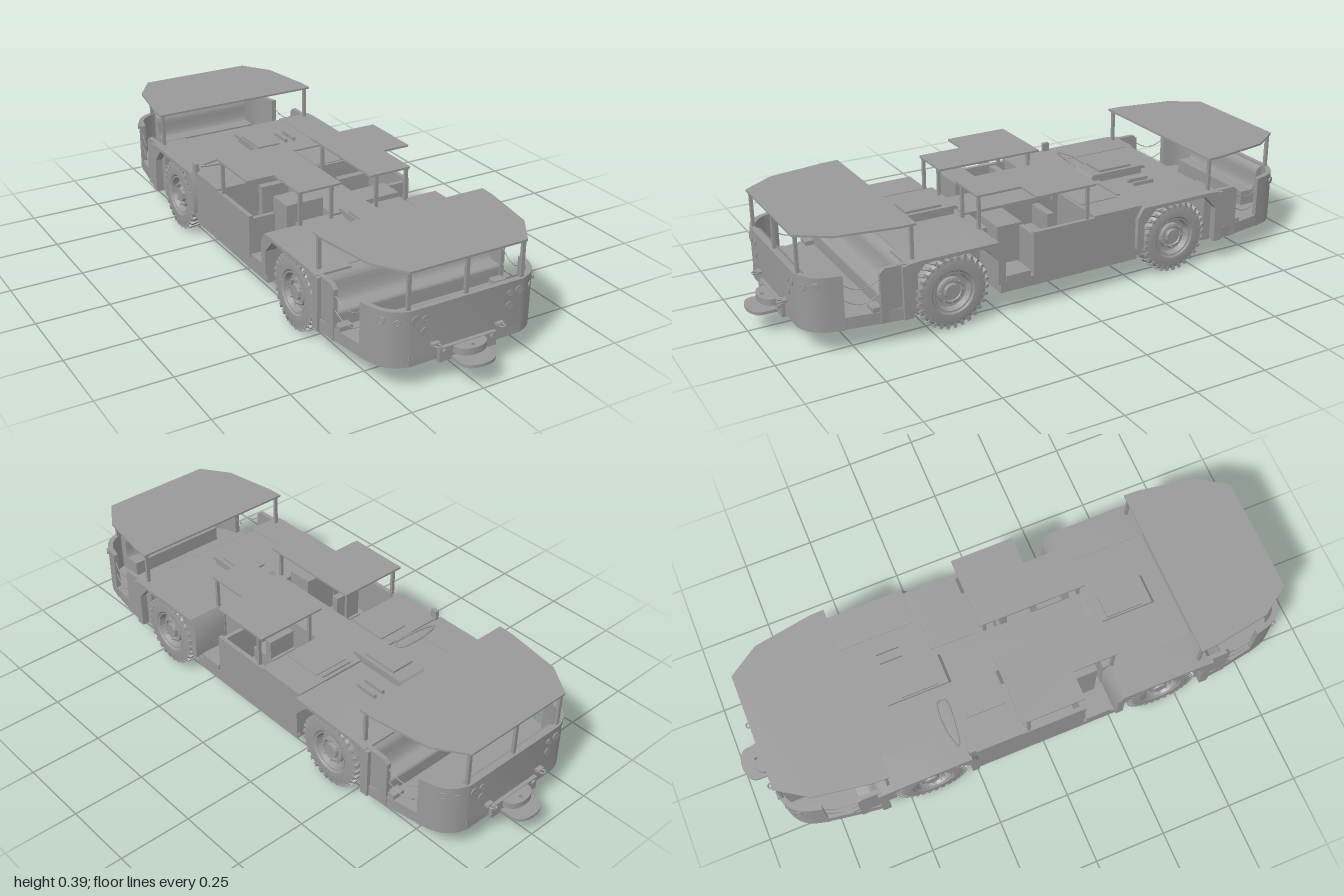
import * as THREE from 'three';
import { mergeGeometries, toCreasedNormals } from 'three/addons/utils/BufferGeometryUtils.js';

const material = new THREE.MeshStandardMaterial({ color: 0x999999, side: THREE.DoubleSide });

function add(parent, name, geometry, x = 0, y = 0, z = 0) {
  const mesh = new THREE.Mesh(geometry, material);
  mesh.name = name;
  mesh.position.set(x, y, z);
  parent.add(mesh);
  return mesh;
}
// Box given by its limits
function block(parent, name, x0, x1, y0, y1, z0, z1) {
  return add(parent, name, new THREE.BoxGeometry(x1 - x0, y1 - y0, z1 - z0), (x0 + x1) / 2, (y0 + y1) / 2, (z0 + z1) / 2);
}
const toShape = (s) => (Array.isArray(s) ? new THREE.Shape(s.map((p) => new THREE.Vector2(...p))) : s);
const extrude = (s, depth) =>
  toCreasedNormals(new THREE.ExtrudeGeometry(toShape(s), { depth, bevelEnabled: false, curveSegments: 12 }), 0.6);
// Side outline [z, y] swept across x
function profile(parent, name, outline, x0, x1) {
  return add(parent, name, extrude(outline, x1 - x0).rotateY(-Math.PI / 2), x1, 0, 0);
}
// Floor outline [x, z] swept up y
function plan(parent, name, outline, y0, y1) {
  return add(parent, name, extrude(outline, y1 - y0).rotateX(Math.PI / 2), 0, y1, 0);
}
const mirrored = (half) => [...half, ...half.slice().reverse().map(([x, z]) => [-x, z])];
const spanFor = (s) => (a, b) => (s > 0 ? [a, b] : [-b, -a]);
function tube(parent, name, points, radius, closed = false) {
  const curve = new THREE.CatmullRomCurve3(points.map((p) => new THREE.Vector3(...p)), closed);
  return add(parent, name, new THREE.TubeGeometry(curve, 24, radius, 6, closed));
}
const post = (parent, x, z, y0) => block(parent, 'canopyPost', x - 0.006, x + 0.006, y0, 0.386, z - 0.005, z + 0.005);

// Tyre with shallow slanted lugs, dished rim and hub; outer face on +x
function wheel(side) {
  const g = new THREE.Group();
  g.name = 'wheel';
  const lathe = (pts) => toCreasedNormals(
    new THREE.LatheGeometry(pts.map((p) => new THREE.Vector2(...p)), 48).rotateZ(-Math.PI / 2), 0.6);
  add(g, 'tyre', lathe([[0.06, -0.04], [0.075, -0.046], [0.1, -0.047], [0.114, -0.043], [0.121, -0.032],
    [0.123, 0], [0.121, 0.032], [0.114, 0.043], [0.1, 0.047], [0.075, 0.046], [0.068, 0.04]]));
  add(g, 'rim', lathe([[0, -0.03], [0.066, -0.03], [0.069, 0.042], [0.064, 0.042], [0.058, 0.022], [0.046, 0.02],
    [0.044, 0.032], [0.036, 0.034], [0.034, 0.028], [0.026, 0.028], [0.024, 0.04], [0, 0.04]]));
  const lugs = [];
  for (let i = 0; i < 30; i++) for (const s of [-1, 1]) {
    const lug = new THREE.BoxGeometry(0.044, 0.01, 0.011).rotateY(s * 0.35).translate(s * 0.022, 0.1215, 0);
    const shoulder = new THREE.BoxGeometry(0.005, 0.014, 0.011).translate(s * 0.0435, 0.113, -0.008);
    lugs.push(...[lug, shoulder].map((b) => b.rotateX(((i + (s > 0 ? 0.5 : 0)) / 30) * Math.PI * 2)));
  }
  add(g, 'treadLugs', mergeGeometries(lugs));
  for (let i = 0; i < 8; i++) {
    const a = (i / 8) * Math.PI * 2;
    add(g, 'wheelNut', new THREE.CylinderGeometry(0.003, 0.003, 0.008, 6).rotateZ(Math.PI / 2),
      0.036, 0.04 * Math.cos(a), 0.04 * Math.sin(a));
  }
  if (side < 0) g.rotation.y = Math.PI;
  return g;
}

// One passenger end with fenders, facing +z
function passengerEnd(wheelZ) {
  const g = new THREE.Group();
  g.name = 'passengerEnd';
  plan(g, 'floor', mirrored([[0.2, 0.25], [0.2, 0.575], [0.322, 0.575], [0.312, 0.66], [0.291, 0.785], [0.28, 0.83],
    [0.2, 0.905]]), 0.085, 0.125);

  // Curved end wall
  const wall = new THREE.Shape();
  wall.moveTo(0.292, 0.785);
  wall.lineTo(0.28, 0.83);
  wall.quadraticCurveTo(0.262, 0.89, 0.195, 0.905);
  wall.lineTo(-0.195, 0.905);
  wall.quadraticCurveTo(-0.262, 0.89, -0.28, 0.83);
  wall.lineTo(-0.292, 0.785);
  wall.lineTo(-0.274, 0.785);
  wall.lineTo(-0.262, 0.83);
  wall.quadraticCurveTo(-0.245, 0.875, -0.19, 0.888);
  wall.lineTo(0.19, 0.888);
  wall.quadraticCurveTo(0.245, 0.875, 0.262, 0.83);
  wall.lineTo(0.274, 0.785);
  plan(g, 'endWall', wall, 0.083, 0.265);

  // Centre body, curved bench back and the facing bench
  block(g, 'centreBody', -0.2, 0.2, 0.085, 0.27, 0.25, 0.575);
  const bench = new THREE.Shape();
  bench.moveTo(0.545, 0.085);
  bench.lineTo(0.545, 0.27);
  bench.quadraticCurveTo(0.595, 0.272, 0.605, 0.24);
  bench.quadraticCurveTo(0.612, 0.185, 0.63, 0.178);
  bench.lineTo(0.66, 0.178);
  bench.quadraticCurveTo(0.67, 0.178, 0.67, 0.165);
  bench.lineTo(0.67, 0.085);
  profile(g, 'bench', bench, -0.3, 0.3);
  const facing = new THREE.Shape();
  facing.moveTo(0.89, 0.12);
  facing.lineTo(0.89, 0.26);
  facing.quadraticCurveTo(0.865, 0.262, 0.862, 0.235);
  facing.quadraticCurveTo(0.86, 0.185, 0.85, 0.178);
  facing.lineTo(0.8, 0.178);
  facing.lineTo(0.8, 0.12);
  profile(g, 'facingBench', facing, -0.19, 0.19);

  for (const s of [-1, 1]) {
    const span = spanFor(s);
    const w = wheel(s);
    w.position.set(s * 0.265, 0.13, wheelZ);
    g.add(w);
    // Angular wheel arch, side panel and mud flap
    profile(g, 'fender', [[0.59, 0.085], [0.59, 0.268], [0.545, 0.272], [0.275, 0.272], [0.252, 0.235], [0.252, 0.125],
      [0.278, 0.125], [0.278, 0.21], [0.325, 0.26], [0.53, 0.26], [0.575, 0.21], [0.575, 0.085]], ...span(0.2, 0.326));
    profile(g, 'sidePanel', [[0.58, 0.085], [0.58, 0.268], [0.66, 0.268], [0.675, 0.255], [0.675, 0.085]], ...span(0.298, 0.313));
    block(g, 'grabPlate', ...span(0.312, 0.326), 0.085, 0.265, 0.585, 0.605);
    block(g, 'doorStep', ...span(0.26, 0.305), 0.125, 0.14, 0.66, 0.7);
    // Safety chains across the doorway
    for (const y of [0.235, 0.185])
      tube(g, 'doorChain', [[s * 0.306, y, 0.675], [s * 0.3, y - 0.02, 0.71], [s * 0.294, y - 0.022, 0.75], [s * 0.285, y, 0.79]], 0.0016);
    // Lamps, the outer ones following the curved corner
    for (const [x, y, z, r, turn] of [[0.183, 0.233, 0.905, 0.014, 0], [0.15, 0.23, 0.905, 0.01, 0], [0.15, 0.19, 0.905, 0.013, 0],
      [0.234, 0.23, 0.889, 0.01, 0.6], [0.267, 0.238, 0.862, 0.011, 1.05]]) {
      const lamp = new THREE.Group();
      lamp.name = 'lamp';
      lamp.position.set(s * x, y, z);
      lamp.rotation.y = s * turn;
      add(lamp, 'lampLens', new THREE.CylinderGeometry(r * 0.85, r * 0.85, 0.008, 20).rotateX(Math.PI / 2));
      add(lamp, 'lampRing', new THREE.TorusGeometry(r * 0.9, 0.002, 6, 24), 0, 0, 0.003);
      g.add(lamp);
    }
    // Towing hooks
    block(g, 'hookPlate', s * 0.115 - 0.013, s * 0.115 + 0.013, 0.136, 0.145, 0.9, 0.92);
    add(g, 'towEye', new THREE.TorusGeometry(0.009, 0.003, 6, 16).rotateX(Math.PI / 2), s * 0.115, 0.14, 0.926);
    for (const [x, z] of [[0.2, 0.892], [0.295, 0.56]]) post(g, s * x, z, 0.25);
  }
  post(g, 0, 0.892, 0.25);

  // Roof canopy
  plan(g, 'canopy', mirrored([[0.31, 0.548], [0.308, 0.6], [0.275, 0.8], [0.205, 0.904]]), 0.384, 0.391);

  // Hitch bracket, thin lower tongue and thick upper jaw
  for (const s of [-1, 1]) {
    block(g, 'hitchPlate', s * 0.08 - 0.022, s * 0.08 + 0.022, 0.076, 0.122, 0.9, 0.918);
    for (const x of [0.043, 0.085])
      add(g, 'hitchBolt', new THREE.CylinderGeometry(0.008, 0.008, 0.008, 12).rotateX(Math.PI / 2), s * x, 0.11, 0.92);
  }
  block(g, 'hitchBlock', -0.06, 0.06, 0.08, 0.122, 0.9, 0.918);
  const tongue = (r, z) => {
    const shape = new THREE.Shape();
    shape.moveTo(-r, 0.9);
    shape.lineTo(-r, z);
    shape.bezierCurveTo(-r, z + 0.05, r, z + 0.05, r, z);
    shape.lineTo(r, 0.9);
    const hole = new THREE.Path();
    hole.absarc(0, 0.942, 0.006, 0, Math.PI * 2);
    shape.holes.push(hole);
    return shape;
  };
  plan(g, 'hitchTongue', tongue(0.06, 0.962), 0.077, 0.087);
  plan(g, 'hitchJaw', tongue(0.055, 0.923), 0.098, 0.12);
  return g;
}

// Stepped cover on the deck
function deckCover(parent, z) {
  block(parent, 'coverBase', -0.046, 0.046, 0.27, 0.29, z - 0.1, z + 0.1);
  profile(parent, 'coverRim', [[z - 0.115, 0.288], [z - 0.105, 0.3], [z + 0.105, 0.3], [z + 0.115, 0.288]], -0.055, 0.05);
  block(parent, 'coverLid', -0.05, 0.036, 0.299, 0.308, z - 0.06, z + 0.07);
}

// Middle section with two open operator stations
function middle() {
  const g = new THREE.Group();
  g.name = 'middle';
  block(g, 'middleFloor', -0.31, 0.31, 0.085, 0.12, -0.262, 0.262);
  block(g, 'tunnel', -0.075, 0.075, 0.1, 0.277, -0.27, 0.27);
  block(g, 'rearDeck', -0.31, 0.31, 0.1, 0.277, -0.275, -0.09);
  block(g, 'hatchPlate', -0.19, -0.08, 0.276, 0.282, -0.24, -0.1);
  block(g, 'hatchPlate', 0.08, 0.21, 0.276, 0.28, -0.24, -0.1);
  for (const s of [-1, 1]) {
    const span = spanFor(s);
    block(g, 'sideWall', ...span(0.295, 0.31), 0.085, 0.27, -0.1, 0.14);
    block(g, 'doorPillar', ...span(0.2, 0.31), 0.1, 0.26, 0.125, 0.14);
    block(g, 'entryStep', ...span(0.22, 0.31), 0.12, 0.14, 0.15, 0.24);
    block(g, 'seatCushion', ...span(0.1, 0.2), 0.12, 0.2, -0.01, 0.09);
    block(g, 'seatBack', ...span(0.1, 0.2), 0.18, s < 0 ? 0.305 : 0.268, 0.0, 0.025);
    block(g, 'console', ...span(0.08, 0.215), 0.12, s < 0 ? 0.318 : 0.27, 0.13, 0.22);
    plan(g, 'canopy', [[0.055, -0.092], [0.31, -0.092], [0.31, 0.13], [0.21, 0.13], [0.21, 0.29], [0.055, 0.29]]
      .map(([x, z]) => [s * x, z]), 0.384, 0.391);
    for (const [x, z] of [[0.085, 0.28], [0.2, 0.28], [0.3, -0.065], [0.085, -0.065]]) post(g, s * x, z, 0.26);
    block(g, 'canopyLamp', ...span(0.06, 0.1), 0.379, 0.385, 0.1, 0.14);
  }
  // Deck covers, rails, hinge bar, hose loop and mirror
  for (const z of [0.39, -0.355]) deckCover(g, z);
  for (const x of [0.104, 0.138]) block(g, 'deckRail', x - 0.005, x + 0.005, 0.27, 0.283, -0.44, -0.36);
  block(g, 'hingeBar', 0.08, 0.2, 0.27, 0.283, -0.262, -0.25);
  tube(g, 'hoseLoop', [[-0.27, 0.276, -0.3], [-0.2, 0.278, -0.32], [-0.1, 0.276, -0.31], [-0.1, 0.276, -0.285], [-0.2, 0.278, -0.285]], 0.004, true);
  block(g, 'mirror', -0.312, -0.298, 0.265, 0.307, -0.28, -0.255);
  return g;
}

export function createModel() {
  const model = new THREE.Group();
  model.name = 'personnelCarrier';
  const rear = passengerEnd(0.415);
  rear.name = 'rearEnd';
  rear.rotation.y = Math.PI;
  const front = passengerEnd(0.43);
  front.name = 'frontEnd';
  model.add(front, rear, middle());
  return model;
}
